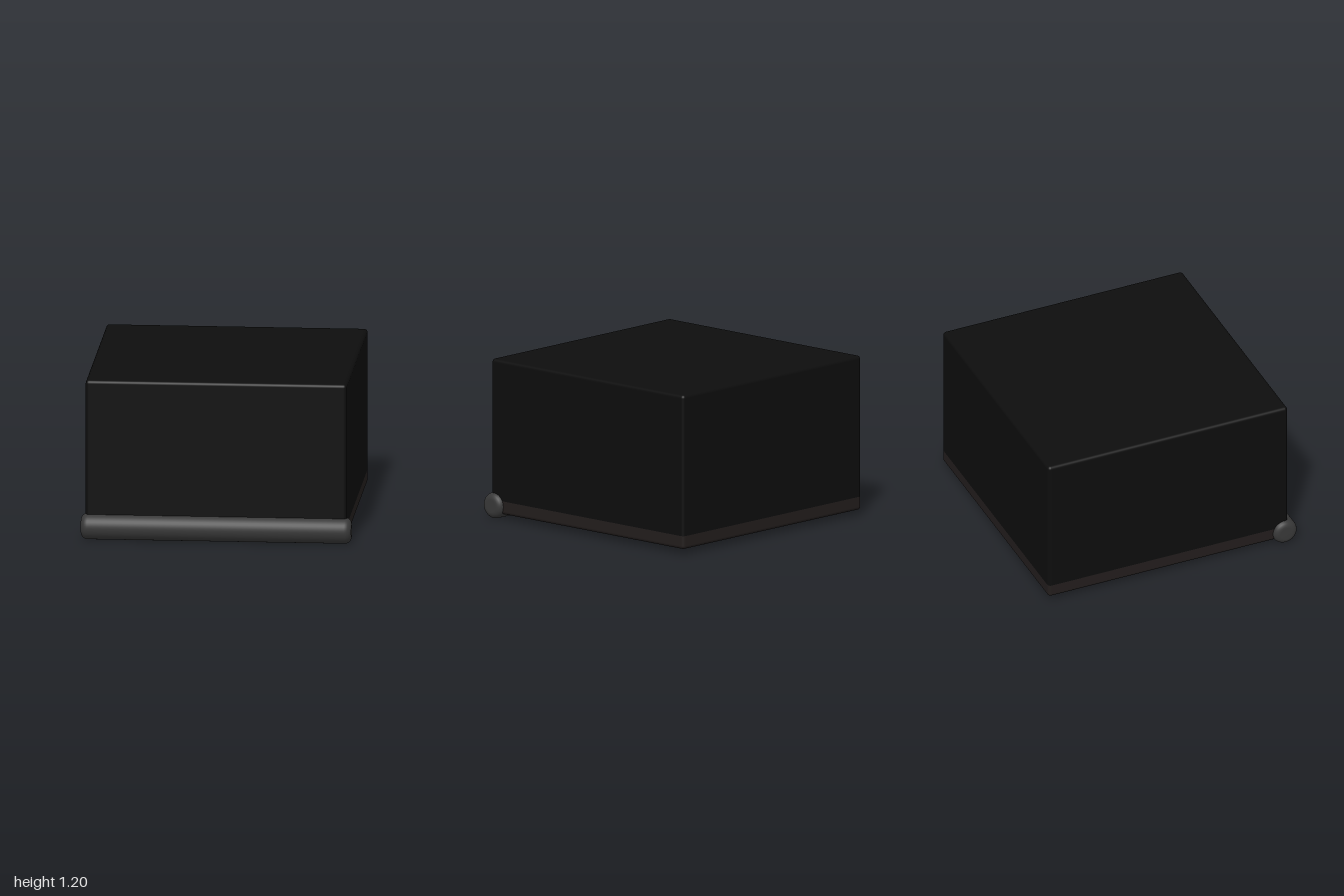
import * as THREE from 'three';
import { RoundedBoxGeometry } from 'three/addons/geometries/RoundedBoxGeometry.js';

const WIDTH = 1.93, BACK = -1, FRONT = 0.93, EDGE = 0.025, SEAM = 0.14;

function addMesh(group, name, geometry, color) {
  const mesh = new THREE.Mesh(geometry, new THREE.MeshStandardMaterial({ color }));
  mesh.name = name;
  group.add(mesh);
  return mesh;
}

// Rounded block spanning the common footprint between two heights
function addBlock(group, name, y0, y1, color) {
  const geometry = new RoundedBoxGeometry(WIDTH, y1 - y0, FRONT - BACK, 4, EDGE);
  addMesh(group, name, geometry, color).position.set(0, (y0 + y1) / 2, (FRONT + BACK) / 2);
}

// Cylinder along x with rounded end rims
function rollerGeometry(radius, halfLength, rim) {
  const profile = [new THREE.Vector2(0, -halfLength)];
  const steps = 6;
  for (const side of [-1, 1]) {
    for (let i = 0; i <= steps; i++) {
      const a = (side < 0 ? i - steps : i) / steps * Math.PI / 2;
      profile.push(new THREE.Vector2(
        radius - rim + rim * Math.cos(a),
        side * (halfLength - rim) + rim * Math.sin(a)));
    }
  }
  profile.push(new THREE.Vector2(0, halfLength));
  return new THREE.LatheGeometry(profile, 40).rotateZ(Math.PI / 2);
}

export function createModel() {
  const model = new THREE.Group();
  model.name = 'boxWithRoller';

  // Cover and base meet flush at the seam; their hidden rounded rims overlap
  addBlock(model, 'cover', SEAM - EDGE, 1.2, 0x0d0d0d);
  addBlock(model, 'base', 0.04, SEAM + EDGE, 0x221d1c);

  // Horizontal bar along the lower front edge
  const radius = 0.097;
  addMesh(model, 'frontRoller', rollerGeometry(radius, 1, 0.05), 0x383838)
    .position.set(0, radius, 1 - radius);

  return model;
}
